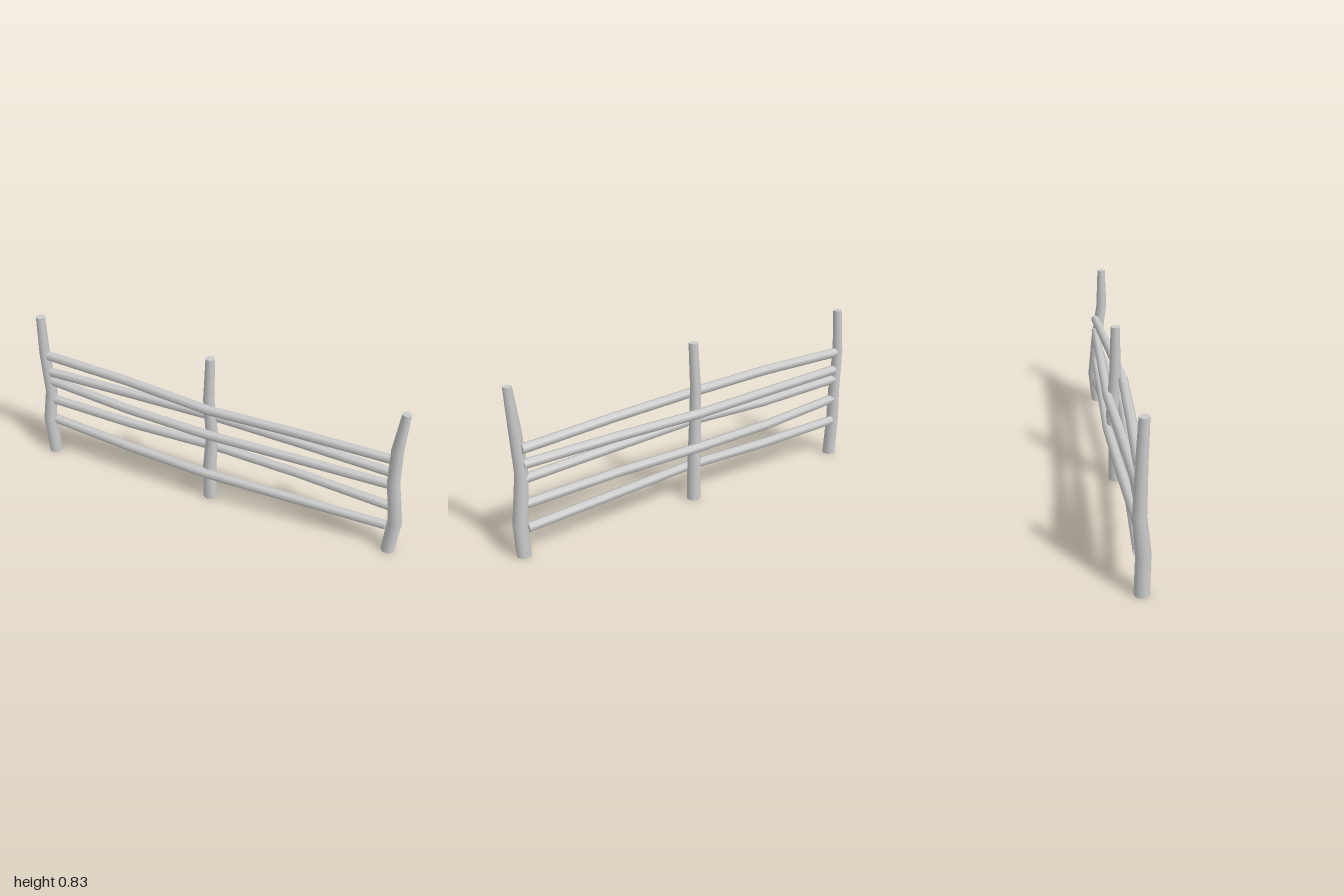
import * as THREE from 'three';

const material = new THREE.MeshStandardMaterial({ color: 0xcccccc });

// Bent, tapering pole. Stations are [x, y, z, radius]; its rings stay square to the given axis.
function pole(name, stations, axis, sides) {
  const last = stations.length - 1;
  const geo = new THREE.CylinderGeometry(1, 1, last, sides, last);
  if (axis === 'x') geo.rotateZ(-Math.PI / 2);
  const pos = geo.attributes.position;
  const p = new THREE.Vector3();
  for (let i = 0; i < pos.count; i++) {
    p.fromBufferAttribute(pos, i);
    const [x, y, z, r] = stations[Math.round(p[axis] + last / 2)];
    p[axis] = 0;
    p.multiplyScalar(r);
    pos.setXYZ(i, p.x + x, p.y + y, p.z + z);
  }
  const mesh = new THREE.Mesh(geo, material);
  mesh.name = name;
  return mesh;
}

export function createModel() {
  const group = new THREE.Group();
  group.name = 'fence';

  // Three crooked upright posts
  group.add(pole('rightPost', [
    [-0.95, 0, 0, 0.035], [-0.963, 0.21, 0.002, 0.034], [-0.945, 0.38, -0.013, 0.031],
    [-0.957, 0.61, -0.01, 0.027], [-0.947, 0.835, 0, 0.023],
  ], 'y', 12));
  group.add(pole('middlePost', [
    [0, 0, 0, 0.035], [-0.003, 0.2, 0, 0.034], [0.003, 0.37, -0.015, 0.031],
    [-0.01, 0.6, -0.003, 0.027], [0.001, 0.835, 0.001, 0.023],
  ], 'y', 12));
  group.add(pole('leftPost', [
    [0.952, 0, 0.001, 0.034], [0.964, 0.17, -0.014, 0.035], [0.932, 0.41, 0, 0.031],
    [0.933, 0.61, 0.029, 0.029], [0.95, 0.815, 0.031, 0.021],
  ], 'y', 12));

  // Rails woven alternately in front of and behind the middle post
  const xs = [-0.935, -0.46, 0, 0.46, 0.925];
  const zEnds = [-0.013, -0.008];
  const heights = [
    [0.203, 0.178, 0.170, 0.154, 0.139],
    [0.333, 0.303, 0.298, 0.288, 0.261],
    [0.450, 0.420, 0.416, 0.402, 0.386],
    [0.504, 0.492, 0.479, 0.471, 0.456],
    [0.603, 0.594, 0.565, 0.552, 0.530],
  ];
  heights.forEach((ys, k) => {
    const mid = k % 2 ? -0.04 : 0.037;
    const zs = [zEnds[0], (zEnds[0] + mid) / 2, mid, (zEnds[1] + mid) / 2, zEnds[1]];
    const stations = xs.map((x, i) => [x, ys[i], zs[i], 0.0255 - 0.0005 * i]);
    group.add(pole('rail' + (k + 1), stations, 'x', 7));
  });

  return group;
}
